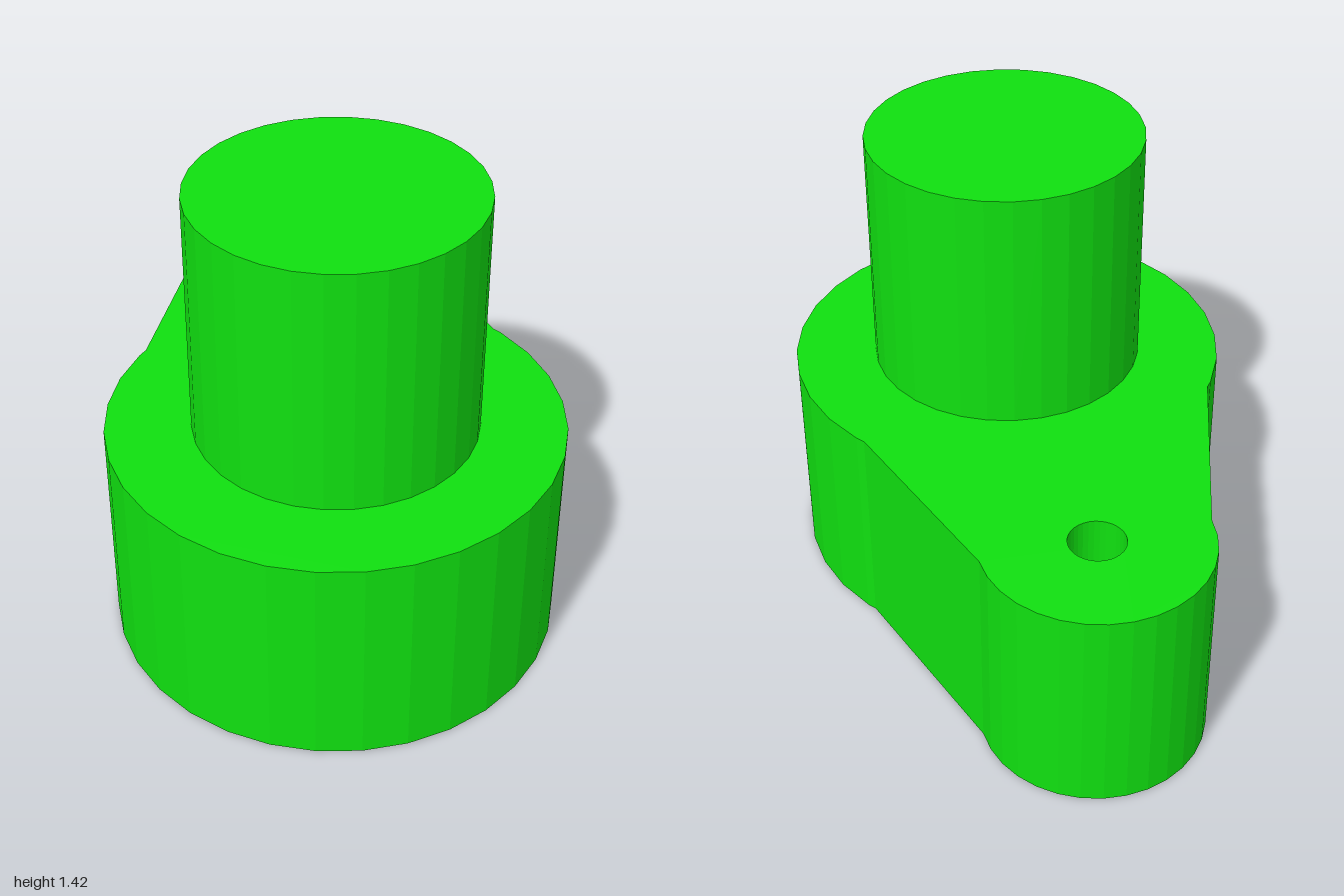
import * as THREE from 'three';

const SEGMENTS = 32;
const BASE_HEIGHT = 2 / 3;
const BIG = { r: 2 / 3, z: 1 / 3 };
const SMALL = { r: 1 / 3, z: -2 / 3 };

// Points on a 32-sided circle from step a to step b, drawn in x and -z
function arc({ r, z }, a, b) {
  const points = [];
  for (let i = a; i <= b; i++) {
    const t = (i / SEGMENTS) * Math.PI * 2;
    points.push(new THREE.Vector2(r * Math.cos(t), r * Math.sin(t) - z));
  }
  return points;
}

export function createModel() {
  const group = new THREE.Group();
  group.name = 'crankArm';
  const material = new THREE.MeshStandardMaterial({ color: 0x10e010, flatShading: true });

  // Tapered arm: small end, straight flanks, then the big round end
  const outline = new THREE.Shape([
    ...arc(SMALL, 0, 16),
    new THREE.Vector2(-0.536, 0.06),
    ...arc(BIG, 13, 35),
    new THREE.Vector2(0.536, 0.06),
  ]);
  // Pin hole through the small end
  outline.holes.push(new THREE.Path(arc({ r: 1 / 12, z: SMALL.z }, 0, SEGMENTS - 1).reverse()));
  const armGeometry = new THREE.ExtrudeGeometry(outline, { depth: BASE_HEIGHT, bevelEnabled: false });
  armGeometry.rotateX(-Math.PI / 2);
  const arm = new THREE.Mesh(armGeometry, material);
  arm.name = 'arm';
  group.add(arm);

  // Upright shaft on the big end
  const shaftHeight = 0.75;
  const shaft = new THREE.Mesh(
    new THREE.CylinderGeometry(5 / 12, 5 / 12, shaftHeight, SEGMENTS),
    material
  );
  shaft.name = 'shaft';
  shaft.position.set(0, BASE_HEIGHT + shaftHeight / 2, BIG.z);
  group.add(shaft);

  return group;
}
